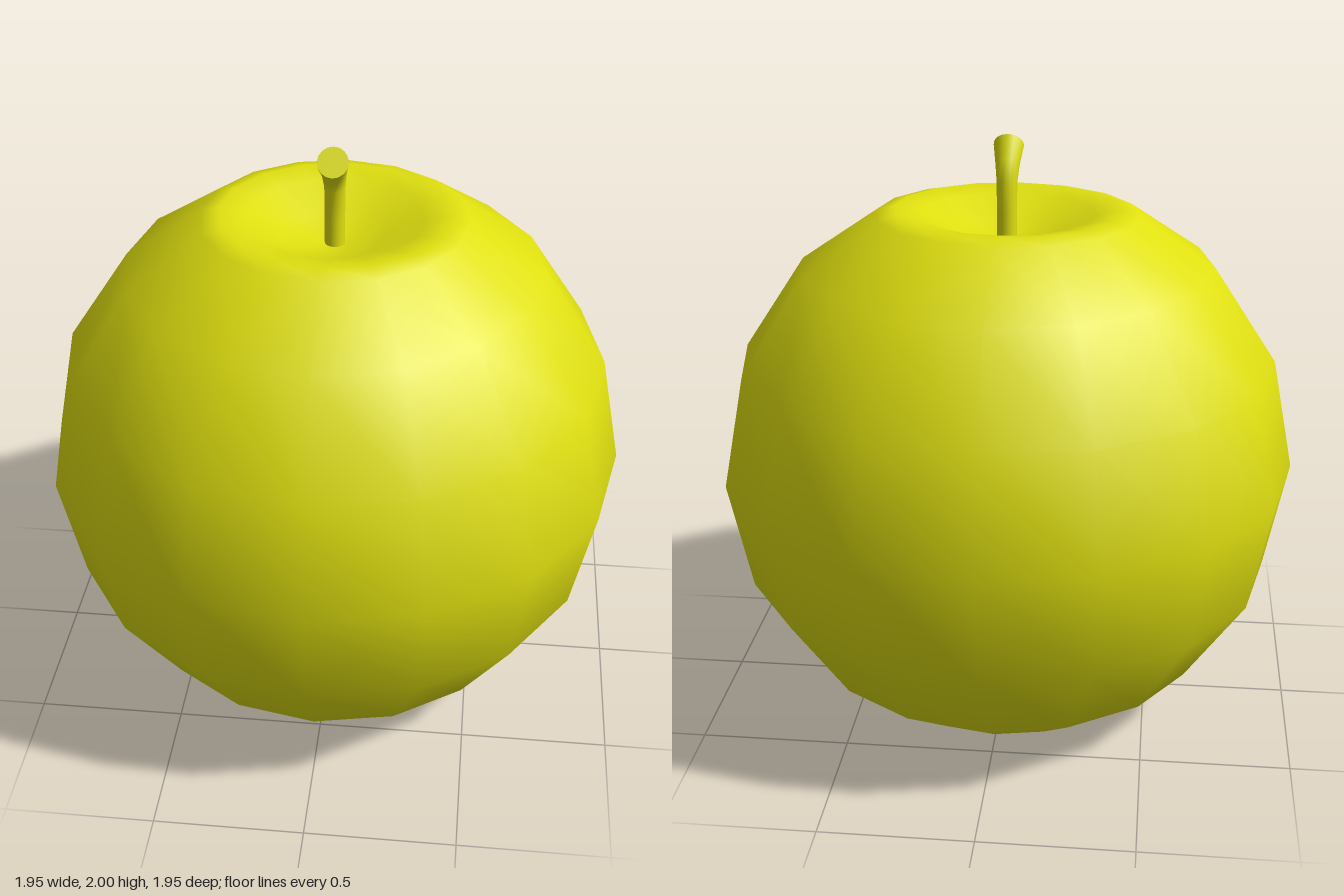
import * as THREE from 'three';

const SIDES = 16;

// Stem: tilted circular rings swept along a bend, closed by a flat cut end
function stemGeometry(rings) {
  const positions = [];
  const indices = [];
  const addRing = ({ y, z, radius, tilt }) => {
    for (let i = 0; i < SIDES; i++) {
      const a = (i / SIDES) * Math.PI * 2;
      const along = Math.cos(a) * radius;
      positions.push(
        Math.sin(a) * radius,
        y - along * Math.sin(tilt),
        z + along * Math.cos(tilt)
      );
    }
  };
  rings.forEach(addRing);
  for (let r = 0; r < rings.length - 1; r++) {
    for (let i = 0; i < SIDES; i++) {
      const j = (i + 1) % SIDES;
      const a = r * SIDES + i;
      const b = r * SIDES + j;
      indices.push(a, b, b + SIDES, a, b + SIDES, a + SIDES);
    }
  }
  // Separate cap vertices keep the cut edge sharp
  const tip = rings[rings.length - 1];
  const start = positions.length / 3;
  addRing(tip);
  positions.push(0, tip.y, tip.z);
  for (let i = 0; i < SIDES; i++) {
    indices.push(start + SIDES, start + i, start + ((i + 1) % SIDES));
  }
  const geometry = new THREE.BufferGeometry();
  geometry.setAttribute('position', new THREE.Float32BufferAttribute(positions, 3));
  geometry.setIndex(indices);
  geometry.computeVertexNormals();
  return geometry;
}

export function createModel() {
  const group = new THREE.Group();
  group.name = 'apple';
  const skin = new THREE.MeshStandardMaterial({ color: 0xdfdf10 });
  skin.name = 'yellow green';

  // Body: from the pointed hollow underneath up to the shallow stem dish
  const profile = [
    [0, 0.2], [0.06, 0.155], [0.17, 0.065], [0.3, 0],
    [0.435, 0.027], [0.69, 0.2], [0.9, 0.513], [0.975, 0.886],
    [0.9, 1.26], [0.69, 1.575], [0.435, 1.747], [0.375, 1.762],
    [0.29, 1.745], [0.17, 1.685], [0.06, 1.655], [0, 1.65],
  ].map(([x, y]) => new THREE.Vector2(x, y));
  const body = new THREE.Mesh(new THREE.LatheGeometry(profile, SIDES), skin);
  body.name = 'body';
  group.add(body);

  // Stem leaning towards the front and widening to its cut end
  const stem = new THREE.Mesh(stemGeometry([
    { y: 1.64, z: -0.006, radius: 0.033, tilt: 0 },
    { y: 1.75, z: -0.007, radius: 0.033, tilt: 0 },
    { y: 1.85, z: -0.006, radius: 0.034, tilt: 0.2 },
    { y: 1.905, z: 0.014, radius: 0.04, tilt: 0.6 },
    { y: 1.96, z: 0.056, radius: 0.05, tilt: 0.94 },
  ]), skin);
  stem.name = 'stem';
  group.add(stem);

  return group;
}
